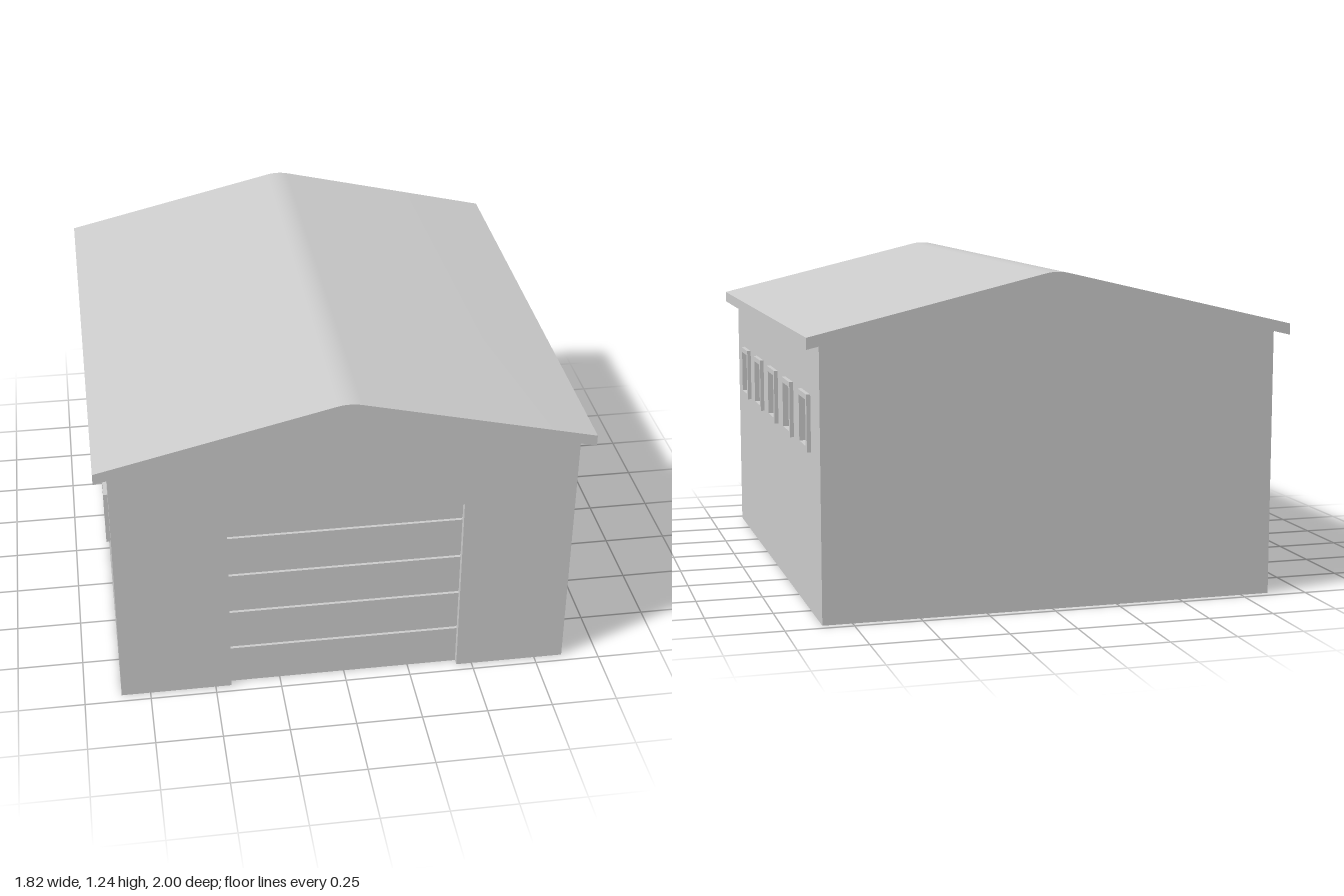
import * as THREE from 'three';
import { toCreasedNormals } from 'three/addons/utils/BufferGeometryUtils.js';

const HALF_W = 0.86, HALF_L = 0.966, WALL = 0.03;
const EAVE_X = 0.91, EAVE_Y = 0.99, SLOPE = 0.236, ROOF_T = 0.042;
const DOOR_X = 0.44, DOOR_H = 0.755;

const material = new THREE.MeshStandardMaterial({ color: 0xcccccc });

function addMesh(parent, name, geometry, x = 0, y = 0, z = 0) {
  const mesh = new THREE.Mesh(geometry, material);
  mesh.name = name;
  mesh.position.set(x, y, z);
  parent.add(mesh);
  return mesh;
}

const extrude = (shape, depth) =>
  new THREE.ExtrudeGeometry(shape, { depth, bevelEnabled: false, curveSegments: 8 });

// Height of the straight roof underside at a distance x from the ridge
const underside = (x) => EAVE_Y + (EAVE_X - Math.abs(x)) * SLOPE;

// Draws a pitched line with a softened ridge from x0 to -x0
function pitchTo(shape, x0, lift) {
  const r = 0.045 * Math.sign(x0);
  shape.lineTo(x0, underside(x0) + lift);
  shape.lineTo(r, underside(r) + lift);
  shape.quadraticCurveTo(0, underside(0) + lift, -r, underside(r) + lift);
  shape.lineTo(-x0, underside(x0) + lift);
}

function rectShape(w, h, cx = 0, cy = 0, Type = THREE.Shape) {
  const s = new Type();
  s.moveTo(cx - w / 2, cy - h / 2);
  s.lineTo(cx + w / 2, cy - h / 2);
  s.lineTo(cx + w / 2, cy + h / 2);
  s.lineTo(cx - w / 2, cy + h / 2);
  s.closePath();
  return s;
}

// End wall with a pitched top, optionally notched for the door
function gableGeometry(withDoor) {
  const s = new THREE.Shape();
  s.moveTo(-HALF_W, 0);
  if (withDoor) {
    s.lineTo(-DOOR_X, 0);
    s.lineTo(-DOOR_X, DOOR_H);
    s.lineTo(DOOR_X, DOOR_H);
    s.lineTo(DOOR_X, 0);
  }
  s.lineTo(HALF_W, 0);
  pitchTo(s, HALF_W, 0);
  s.closePath();
  return extrude(s, WALL);
}

// Long wall with its windows, facing +x
function buildSide(name) {
  const side = new THREE.Group();
  side.name = name;
  const centres = [-2, -1, 0, 1, 2].map((i) => i * 0.352);
  const cy = 0.7, openW = 0.13, openH = 0.17;

  const length = 2 * (HALF_L - WALL), height = underside(HALF_W);
  const wallShape = rectShape(length, height, 0, height / 2);
  for (const c of centres) wallShape.holes.push(rectShape(openW, openH, c, cy, THREE.Path));
  addMesh(side, 'sideWall', extrude(wallShape, WALL).rotateY(Math.PI / 2), HALF_W - WALL);

  const frameShape = rectShape(0.175, 0.21);
  frameShape.holes.push(rectShape(openW, openH, 0, 0, THREE.Path));
  const frameGeo = extrude(frameShape, 0.035).rotateY(Math.PI / 2);
  const paneGeo = new THREE.BoxGeometry(0.01, openH + 0.02, openW + 0.02);
  for (const c of centres) {
    addMesh(side, 'windowFrame', frameGeo, HALF_W - 0.02, cy, c);
    addMesh(side, 'windowPane', paneGeo, HALF_W - WALL, cy, c);
  }
  return side;
}

// Sectional door with narrow grooves between its panels
function buildDoor() {
  const door = new THREE.Group();
  door.name = 'garageDoor';
  const pitch = 0.17, groove = 0.012;
  const back = HALF_L - 0.05, front = HALF_L - 0.026;
  const backFace = front - 0.012;
  addMesh(door, 'doorBacking', new THREE.BoxGeometry(2 * DOOR_X, DOOR_H, backFace - back),
    0, DOOR_H / 2, (back + backFace) / 2);
  for (let y = 0; y < DOOR_H; y += pitch) {
    const top = Math.min(y + pitch - groove, DOOR_H);
    addMesh(door, 'doorPanel', new THREE.BoxGeometry(2 * DOOR_X, top - y, front - backFace),
      0, (y + top) / 2, (front + backFace) / 2);
  }
  return door;
}

export function createModel() {
  const model = new THREE.Group();
  model.name = 'garage';

  // Floor and end walls
  addMesh(model, 'floor', new THREE.BoxGeometry(2 * (HALF_W - WALL), 0.02, 2 * (HALF_L - WALL)), 0, 0.01, 0);
  addMesh(model, 'frontWall', gableGeometry(true), 0, 0, HALF_L - WALL);
  addMesh(model, 'backWall', gableGeometry(false), 0, 0, -HALF_L);
  model.add(buildDoor());

  // Matching long walls
  model.add(buildSide('leftSide'));
  const right = buildSide('rightSide');
  right.rotation.y = Math.PI;
  model.add(right);

  // Overhanging roof slab with a soft ridge
  const roof = new THREE.Shape();
  roof.moveTo(-EAVE_X, EAVE_Y);
  pitchTo(roof, -EAVE_X, 0);
  pitchTo(roof, EAVE_X, ROOF_T);
  roof.closePath();
  addMesh(model, 'roof', toCreasedNormals(extrude(roof, 2), 0.5), 0, 0, -1);

  return model;
}
